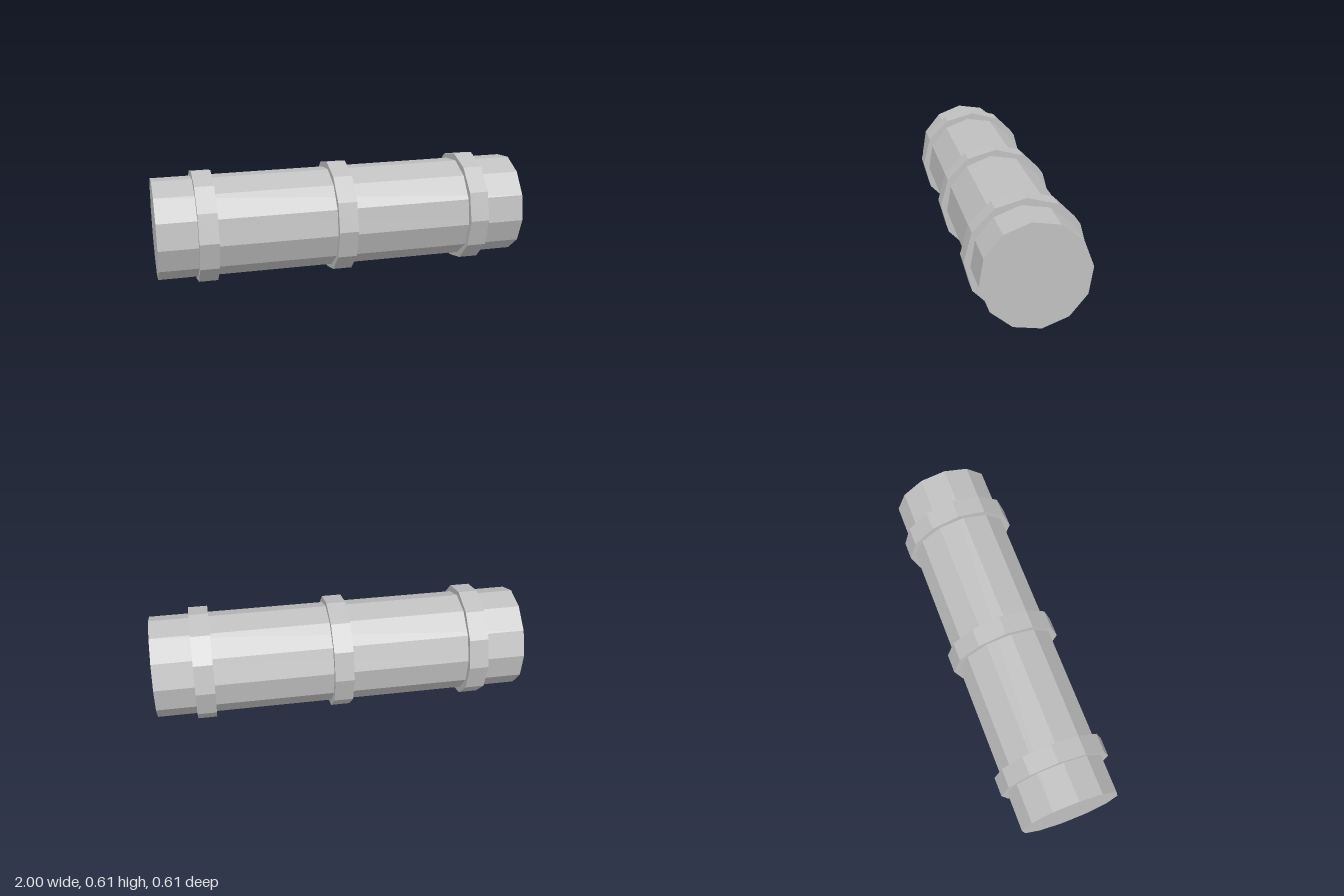
import * as THREE from 'three';

const SIDES = 12;
const AXIS_Y = 0.305;

export function createModel() {
  const model = new THREE.Group();
  model.name = 'bandedPipe';

  const grey = new THREE.MeshStandardMaterial({ color: 0xc0c0c0, flatShading: true });
  grey.name = 'lightGrey';

  // Closed twelve-sided cylinder lying along x, optionally twisted about its axis
  function addCylinder(name, radius, length, x, twist = 0) {
    const geometry = new THREE.CylinderGeometry(radius, radius, length, SIDES);
    geometry.rotateZ(-Math.PI / 2).rotateX(twist);
    const mesh = new THREE.Mesh(geometry, grey);
    mesh.name = name;
    mesh.position.set(x, AXIS_Y, 0);
    model.add(mesh);
  }

  // Main pipe, turned slightly relative to its bands
  addCylinder('pipe', 0.273, 2, 0, THREE.MathUtils.degToRad(5.9));

  // Raised bands around the pipe
  const bands = { rightBand: -0.738, middleBand: -0.002, leftBand: 0.735 };
  for (const [name, x] of Object.entries(bands)) addCylinder(name, 0.305, 0.103, x);

  return model;
}
